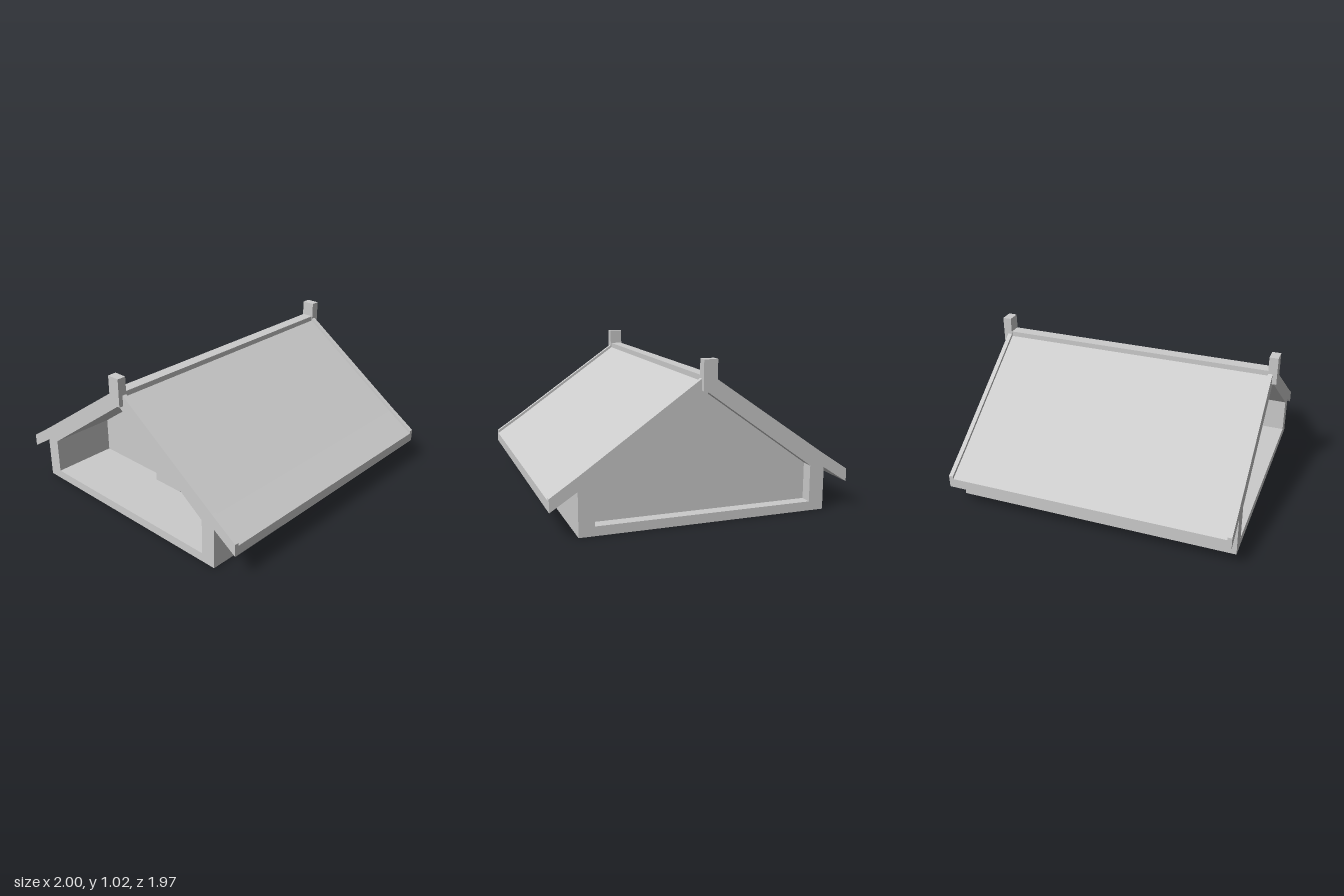
import * as THREE from 'three';

const material = new THREE.MeshStandardMaterial({ color: 0xcccccc, flatShading: true });

// Mirrors half of a gable profile (bottom to apex) into a closed outline
function mirrored(half) {
  const points = half.map(([z, y]) => new THREE.Vector2(z, y));
  const other = half.filter(([z]) => z !== 0).reverse().map(([z, y]) => new THREE.Vector2(-z, y));
  return [...points, ...other];
}

// Outer gable profile with eaves; drop lowers the roof surface
const outer = (drop) => mirrored([
  [0.815, 0], [0.815, 0.28], [0.985, 0.17], [0.985, 0.255 - drop], [0.8, 0.378 - drop], [0, 0.933 - drop],
]);
const inner = mirrored([[0.715, 0.06], [0.715, 0.3], [0, 0.815]]);

// Extrudes a gable profile along x
function extrudeX(name, outline, hole, x0, x1) {
  const shape = new THREE.Shape(outline);
  if (hole) shape.holes.push(new THREE.Path(hole));
  const geometry = new THREE.ExtrudeGeometry(shape, { depth: x1 - x0, bevelEnabled: false });
  geometry.rotateY(Math.PI / 2).translate(x0, 0, 0);
  const mesh = new THREE.Mesh(geometry, material);
  mesh.name = name;
  return mesh;
}

function box(name, w, h, d, x, y, z) {
  const mesh = new THREE.Mesh(new THREE.BoxGeometry(w, h, d), material);
  mesh.position.set(x, y, z);
  mesh.name = name;
  return mesh;
}

export function createModel() {
  const group = new THREE.Group();
  group.name = 'gabledHouse';

  // Floor, side walls and roof slopes in one hollow shell
  group.add(extrudeX('houseShell', outer(0.02), inner, -0.94, 0.94));

  // Enclosed room: shallow recess at one end, deep porch at the other
  group.add(extrudeX('roomWalls', inner, null, -0.52, 0.89));
  group.add(box('porchDoor', 0.06, 0.46, 0.24, -0.55, 0.29, 0));

  // Raised gable frames and ridge posts at both ends
  for (const side of [-1, 1]) {
    const x0 = side < 0 ? -0.97 : 0.94;
    group.add(extrudeX('gableFrame', outer(0), inner, x0, x0 + 0.03));
    group.add(box('ridgePost', 0.06, 0.19, 0.09, side * 0.97, 0.925, 0));
  }

  // Ridge beam along the roof
  group.add(box('ridgeBeam', 1.88, 0.06, 0.08, 0, 0.89, 0));
  return group;
}
